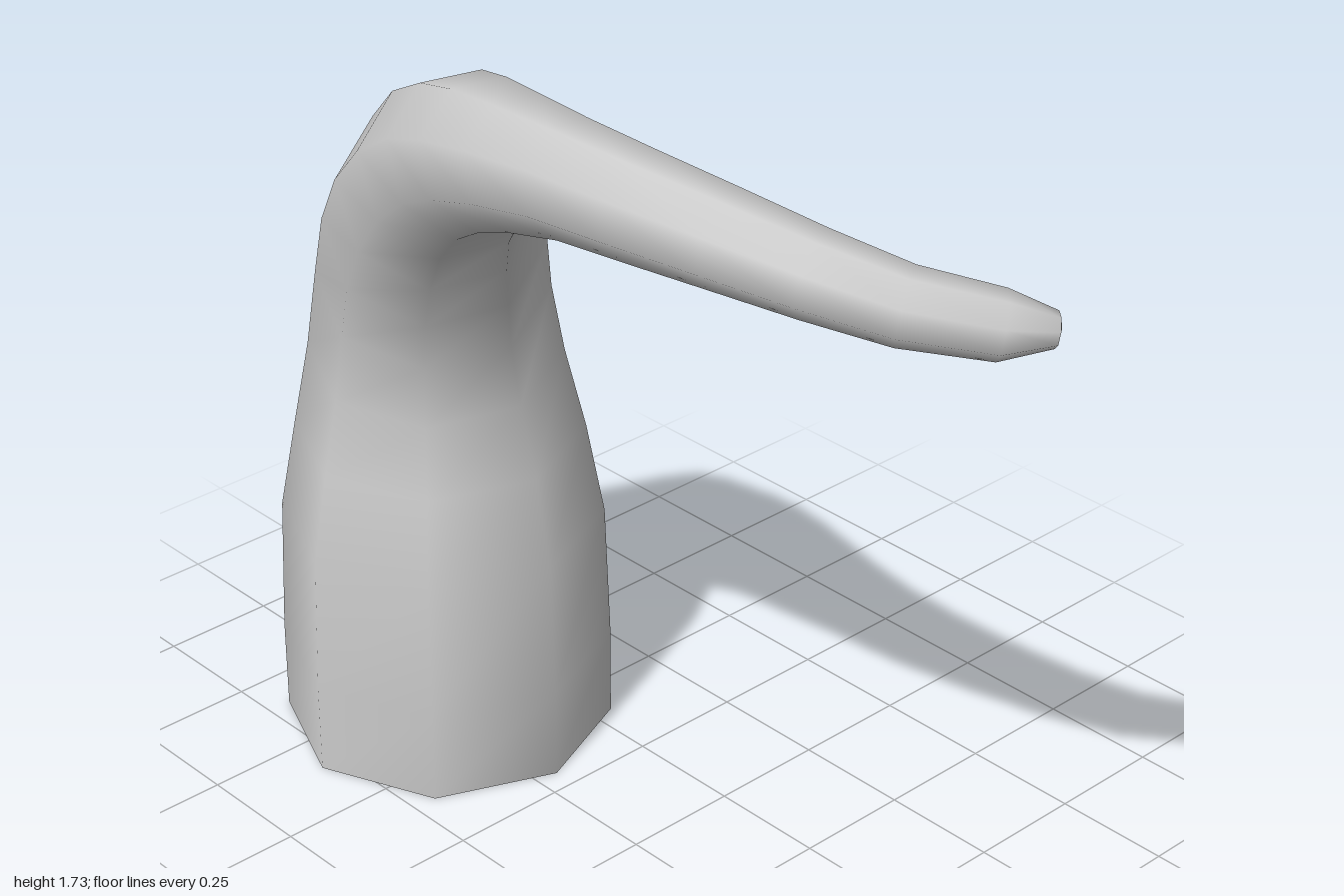
import * as THREE from 'three';

// Spine of the horn: centre x, y, z and radius of each ring
const RINGS = [
  [-0.65, 0, -0.05, 0.35],
  [-0.65, 0.2, -0.05, 0.35],
  [-0.65, 0.5, -0.05, 0.339],
  [-0.65, 0.7, -0.05, 0.302],
  [-0.637, 0.89, -0.035, 0.262],
  [-0.595, 1.07, 0.0, 0.236],
  [-0.53, 1.215, 0.045, 0.221],
  [-0.45, 1.335, 0.095, 0.201],
  [-0.35, 1.44, 0.147, 0.178],
  [-0.24, 1.515, 0.193, 0.158],
  [-0.13, 1.562, 0.231, 0.142],
  [0.0, 1.6, 0.266, 0.125],
  [0.15, 1.627, 0.288, 0.109],
  [0.32, 1.636, 0.29, 0.1],
  [0.5, 1.628, 0.262, 0.09],
  [0.66, 1.605, 0.213, 0.08],
  [0.8, 1.574, 0.143, 0.071],
  [0.92, 1.549, 0.04, 0.062],
  [0.978, 1.538, -0.03, 0.032],
];
const SIDES = 8;

// Sweep an octagon along the spine, carrying its frame without twist
function hornGeometry() {
  const centres = RINGS.map(([x, y, z]) => new THREE.Vector3(x, y, z));
  const last = centres.length - 1;
  const positions = [];
  const indices = [];
  const tangent = new THREE.Vector3(0, 1, 0);
  const u = new THREE.Vector3(1, 0, 0);
  const w = new THREE.Vector3(0, 0, 1);

  centres.forEach((c, i) => {
    const next = new THREE.Vector3(0, 1, 0);
    if (i > 0) {
      const before = c.clone().sub(centres[i - 1]).normalize();
      const after = centres[Math.min(i + 1, last)].clone().sub(c).normalize();
      next.copy(before).add(after).normalize();
    }
    const turn = new THREE.Quaternion().setFromUnitVectors(tangent, next);
    u.applyQuaternion(turn);
    w.applyQuaternion(turn);
    tangent.copy(next);
    for (let s = 0; s < SIDES; s++) {
      const a = (s / SIDES) * Math.PI * 2;
      const p = c.clone()
        .addScaledVector(u, Math.cos(a) * RINGS[i][3])
        .addScaledVector(w, Math.sin(a) * RINGS[i][3]);
      positions.push(p.x, p.y, p.z);
    }
  });

  for (let i = 0; i < last; i++) {
    for (let s = 0; s < SIDES; s++) {
      const a = i * SIDES + s;
      const b = i * SIDES + ((s + 1) % SIDES);
      indices.push(a, a + SIDES, b, b, a + SIDES, b + SIDES);
    }
  }

  // Blunt tip
  const tip = positions.length / 3;
  const end = centres[last].clone().addScaledVector(tangent, 0.008);
  positions.push(end.x, end.y, end.z);
  for (let s = 0; s < SIDES; s++) {
    indices.push(last * SIDES + s, tip, last * SIDES + ((s + 1) % SIDES));
  }

  const geometry = new THREE.BufferGeometry();
  geometry.setAttribute('position', new THREE.Float32BufferAttribute(positions, 3));
  geometry.setIndex(indices);
  geometry.computeVertexNormals();
  return geometry;
}

export function createModel() {
  const group = new THREE.Group();
  group.name = 'curvedHorn';
  // Hollow at the base, so the inside shows too
  const material = new THREE.MeshStandardMaterial({ color: 0xcccccc, side: THREE.DoubleSide });
  const horn = new THREE.Mesh(hornGeometry(), material);
  horn.name = 'horn';
  group.add(horn);
  return group;
}
